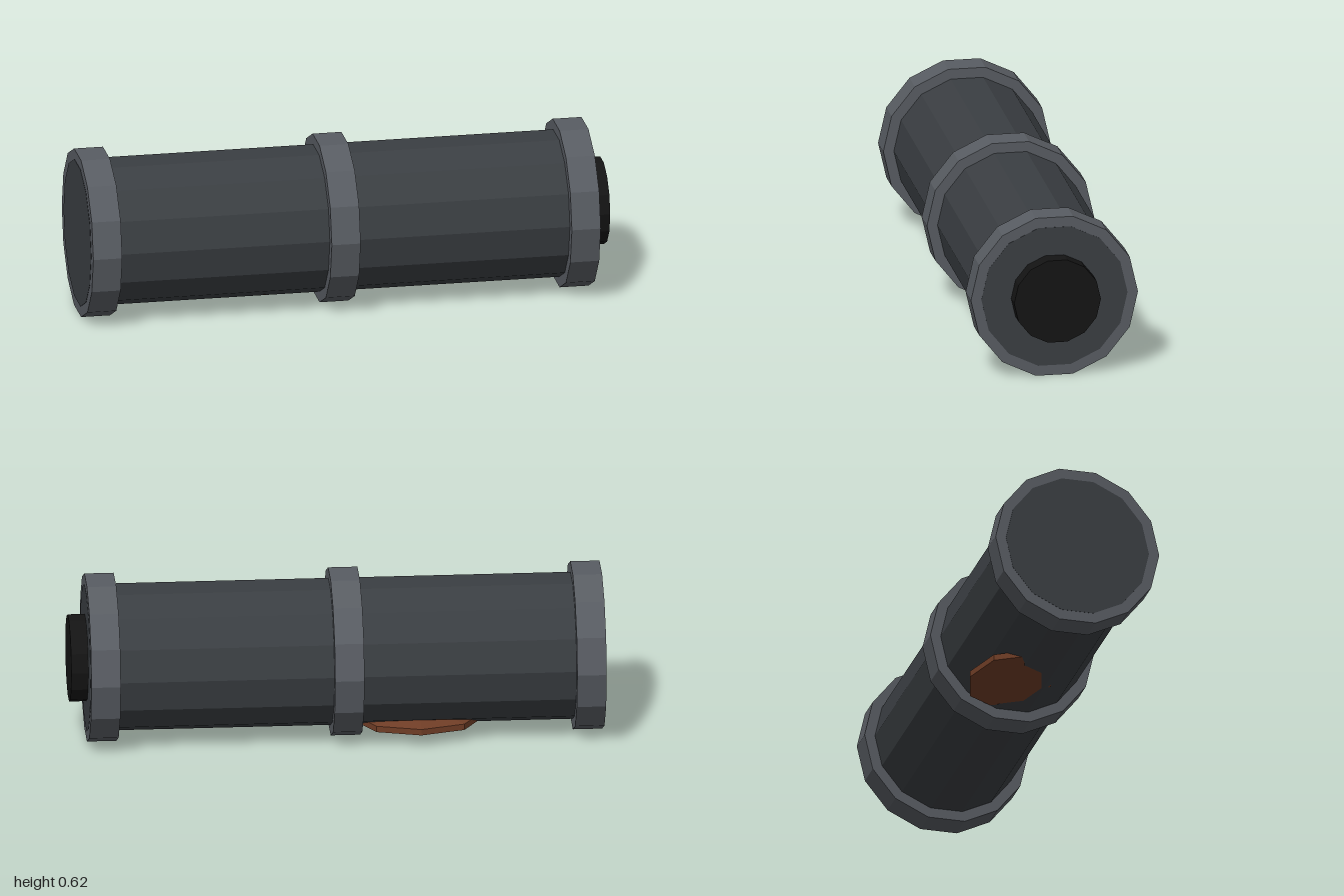
import * as THREE from 'three';

const SIDES = 14;
const AXIS_Y = 0.31;

function material(color) {
  return new THREE.MeshStandardMaterial({ color, flatShading: true });
}

// Faceted cylinder along x between two ends, with a flat facet on top
function barrel(name, radius, x0, x1, mat) {
  const geometry = new THREE.CylinderGeometry(radius, radius, x1 - x0, SIDES);
  geometry.rotateZ(-Math.PI / 2);
  const mesh = new THREE.Mesh(geometry, mat);
  mesh.name = name;
  mesh.position.set((x0 + x1) / 2, AXIS_Y, 0);
  return mesh;
}

export function createModel() {
  const group = new THREE.Group();
  group.name = 'canister';
  const bodyMat = material(0x3a3e42);
  const ringMat = material(0x585c62);
  const capMat = material(0x141414);
  const patchMat = material(0x6f3d26);

  // Main tube, its ends just proud of the end rings
  group.add(barrel('body', 0.278, -1, 0.936, bodyMat));

  // Three raised bands
  const bands = [['endRing', -0.999], ['middleRing', -0.09], ['frontRing', 0.825]];
  for (const [name, x] of bands) group.add(barrel(name, 0.318, x, x + 0.11, ringMat));

  // Plug on the right-hand end
  group.add(barrel('plug', 0.165, 0.93, 1, capMat));

  // Flattened faceted pad sunk into the underside
  const pad = new THREE.Mesh(new THREE.SphereGeometry(1, 8, 5), patchMat);
  pad.name = 'undersidePad';
  pad.scale.set(0.245, 0.038, 0.165);
  pad.position.set(-0.31, 0.062, -0.068);
  group.add(pad);

  return group;
}
